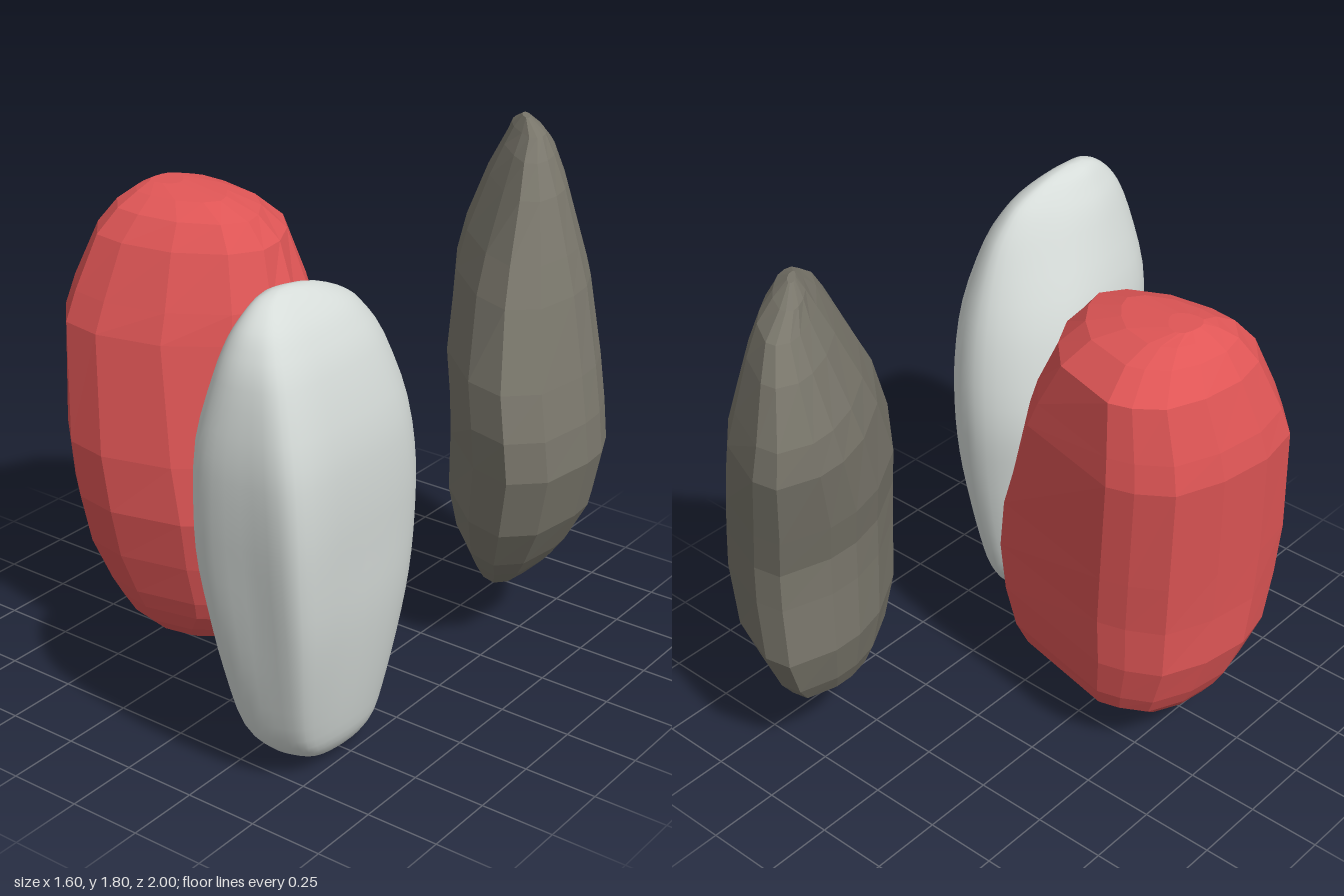
import * as THREE from 'three';

// Closed outline of [x, z] points, scaled to -1..1 on both axes
function unitOutline(points, smooth) {
  let outline = points.map(([x, z]) => new THREE.Vector3(x, 0, z));
  if (smooth) outline = new THREE.CatmullRomCurve3(outline, true).getPoints(48).slice(0, -1);
  const box = new THREE.Box3().setFromPoints(outline);
  const size = box.getSize(new THREE.Vector3());
  return outline.map((p) => new THREE.Vector2(
    2 * (p.x - box.min.x) / size.x - 1, 2 * (p.z - box.min.z) / size.z - 1));
}

// A stone is a stack of rings. `plan` is the outline seen from above, which turns into
// `topPlan` towards the top and, by `round`, into an ellipse towards the bottom.
// Each row gives the ring's bounds: [y, xMin, xMax, zMin, zMax], bottom to top.
function stone(name, color, plan, topPlan, rows, { smooth = false, round = 0 } = {}) {
  let lows = rows.map(([y, x0, , z0]) => new THREE.Vector3(x0, y, z0));
  let highs = rows.map(([y, , x1, , z1]) => new THREE.Vector3(x1, y, z1));
  if (smooth) {
    const resample = (pts) => new THREE.CatmullRomCurve3(pts, false, 'catmullrom', 0.5).getPoints(36);
    lows = resample(lows);
    highs = resample(highs);
  }
  const middle = unitOutline(plan, smooth);
  const upper = unitOutline(topPlan, smooth);
  const n = middle.length, count = lows.length;
  const yMin = lows[0].y, yMax = lows[count - 1].y;
  const positions = [], index = [];
  lows.forEach((lo, r) => {
    const hi = highs[r];
    const t = 2 * (lo.y - yMin) / (yMax - yMin) - 1;
    const blend = Math.abs(t) ** 1.5;
    middle.forEach((p, i) => {
      const q = t > 0 ? p.clone().lerp(upper[i], blend) : p.clone().lerp(p.clone().normalize(), blend * round);
      positions.push(
        THREE.MathUtils.lerp(lo.x, hi.x, (q.x + 1) / 2), lo.y,
        THREE.MathUtils.lerp(lo.z, hi.z, (q.y + 1) / 2));
    });
  });
  for (let r = 0; r < count - 1; r++) {
    for (let i = 0; i < n; i++) {
      const a = r * n + i, b = r * n + (i + 1) % n;
      index.push(a, a + n, b, b, a + n, b + n);
    }
  }
  // Close the two ends with fans
  const bottom = count * n, top = bottom + 1, last = (count - 1) * n;
  for (const r of [0, count - 1]) {
    const c = lows[r].clone().add(highs[r]).multiplyScalar(0.5);
    positions.push(c.x, c.y, c.z);
  }
  for (let i = 0; i < n; i++) {
    const j = (i + 1) % n;
    index.push(bottom, i, j, top, last + j, last + i);
  }
  const geometry = new THREE.BufferGeometry();
  geometry.setAttribute('position', new THREE.Float32BufferAttribute(positions, 3));
  geometry.setIndex(index);
  geometry.computeVertexNormals();
  const mesh = new THREE.Mesh(geometry, new THREE.MeshStandardMaterial({ color, flatShading: !smooth }));
  mesh.name = name;
  return mesh;
}

export function createModel() {
  const group = new THREE.Group();
  group.name = 'stones';

  // Broad red stone with a flat back, its rear left corner cut away at the top
  group.add(stone('redStone', 0xe05656, [
    [-0.48, -0.23], [0.06, -0.11], [0.125, 0], [0.13, 0.13], [0.08, 0.25], [0, 0.37], [-0.2, 0.52],
    [-0.46, 0.59], [-0.63, 0.56], [-0.77, 0.43], [-0.8, 0.25], [-0.77, 0.05], [-0.7, -0.13], [-0.58, -0.2],
  ], [
    [-0.3, -1], [0.3, -0.8], [0.65, -0.45], [0.9, -0.05], [1, 0.3], [0.8, 0.65], [0.3, 0.93],
    [-0.27, 1], [-0.65, 0.95], [-0.92, 0.6], [-1, 0.2], [-0.94, -0.3], [-0.78, -0.7], [-0.53, -0.92],
  ], [
    [0.04, -0.4, -0.26, 0.17, 0.3],
    [0.07, -0.53, -0.18, 0.08, 0.36],
    [0.13, -0.6, -0.07, -0.01, 0.42],
    [0.2, -0.65, 0.03, -0.1, 0.46],
    [0.27, -0.69, 0.075, -0.125, 0.49],
    [0.42, -0.745, 0.115, -0.15, 0.54],
    [0.6, -0.755, 0.135, -0.16, 0.58],
    [0.8, -0.77, 0.1, -0.18, 0.59],
    [1.2, -0.8, 0.02, -0.22, 0.54],
    [1.3, -0.78, 0, -0.21, 0.5],
    [1.48, -0.72, -0.07, -0.19, 0.42],
    [1.56, -0.66, -0.14, -0.09, 0.35],
    [1.6, -0.61, -0.27, 0, 0.27],
    [1.62, -0.57, -0.46, 0.08, 0.2],
  ], { round: 0.25 }));

  // Thin, slanted dark stone with a dent in its rear edge
  group.add(stone('darkStone', 0x79766b, [
    [0.13, -0.98], [0.24, -1], [0.48, -0.92], [0.61, -0.81], [0.725, -0.65], [0.78, -0.53], [0.79, -0.42],
    [0.76, -0.2], [0.65, -0.1], [0.48, -0.14], [0.24, -0.34], [0.11, -0.54], [0.07, -0.68], [0.07, -0.8],
  ], [
    [-0.88, -0.97], [-0.65, -1], [0, -0.68], [0.35, -0.35], [0.7, 0.05], [0.9, 0.35], [1, 0.7],
    [0.97, 0.93], [0.72, 1], [0.25, 0.7], [-0.35, 0.25], [-0.7, -0.15], [-0.93, -0.55], [-1, -0.8],
  ], [
    [0.2, 0.35, 0.45, -0.6, -0.47],
    [0.22, 0.29, 0.51, -0.71, -0.37],
    [0.3, 0.22, 0.59, -0.82, -0.29],
    [0.38, 0.18, 0.65, -0.88, -0.22],
    [0.54, 0.14, 0.74, -0.945, -0.14],
    [0.76, 0.15, 0.795, -0.945, -0.1],
    [0.9, 0.15, 0.78, -0.945, -0.095],
    [1.05, 0.115, 0.745, -0.965, -0.12],
    [1.3, 0.07, 0.675, -1, -0.22],
    [1.42, 0.08, 0.63, -0.98, -0.29],
    [1.6, 0.14, 0.56, -0.92, -0.4],
    [1.7, 0.2, 0.5, -0.86, -0.48],
    [1.76, 0.25, 0.45, -0.77, -0.56],
    [1.8, 0.32, 0.37, -0.69, -0.63],
  ]));

  // Smooth pale stone with a blunt front edge
  group.add(stone('paleStone', 0xd6dcd9, [
    [0.4, 0.18], [0.53, 0.22], [0.62, 0.33], [0.65, 0.45], [0.655, 0.7], [0.655, 0.9], [0.62, 0.97],
    [0.48, 0.98], [0.32, 0.99], [0.25, 0.96], [0.19, 0.85], [0.16, 0.65], [0.15, 0.45], [0.18, 0.35], [0.27, 0.24],
  ], [
    [0.2, -1], [0.6, -0.85], [0.86, -0.6], [0.98, -0.25], [1, 0.2], [0.93, 0.6], [0.75, 0.85],
    [0.35, 0.98], [-0.1, 1], [-0.5, 0.9], [-0.8, 0.65], [-1, 0.25], [-0.85, -0.2], [-0.55, -0.55], [-0.2, -0.85],
  ], [
    [0, 0.38, 0.42, 0.45, 0.53],
    [0.03, 0.32, 0.48, 0.36, 0.65],
    [0.1, 0.265, 0.535, 0.31, 0.76],
    [0.2, 0.225, 0.565, 0.275, 0.835],
    [0.4, 0.195, 0.605, 0.235, 0.895],
    [0.6, 0.17, 0.635, 0.205, 0.935],
    [0.8, 0.15, 0.65, 0.19, 0.965],
    [1, 0.16, 0.66, 0.205, 0.99],
    [1.2, 0.185, 0.65, 0.25, 1],
    [1.4, 0.255, 0.6, 0.335, 0.975],
    [1.5, 0.295, 0.555, 0.405, 0.94],
    [1.56, 0.33, 0.515, 0.475, 0.9],
    [1.61, 0.365, 0.465, 0.59, 0.835],
    [1.63, 0.4, 0.43, 0.7, 0.77],
  ], { smooth: true, round: 0.8 }));

  return group;
}
